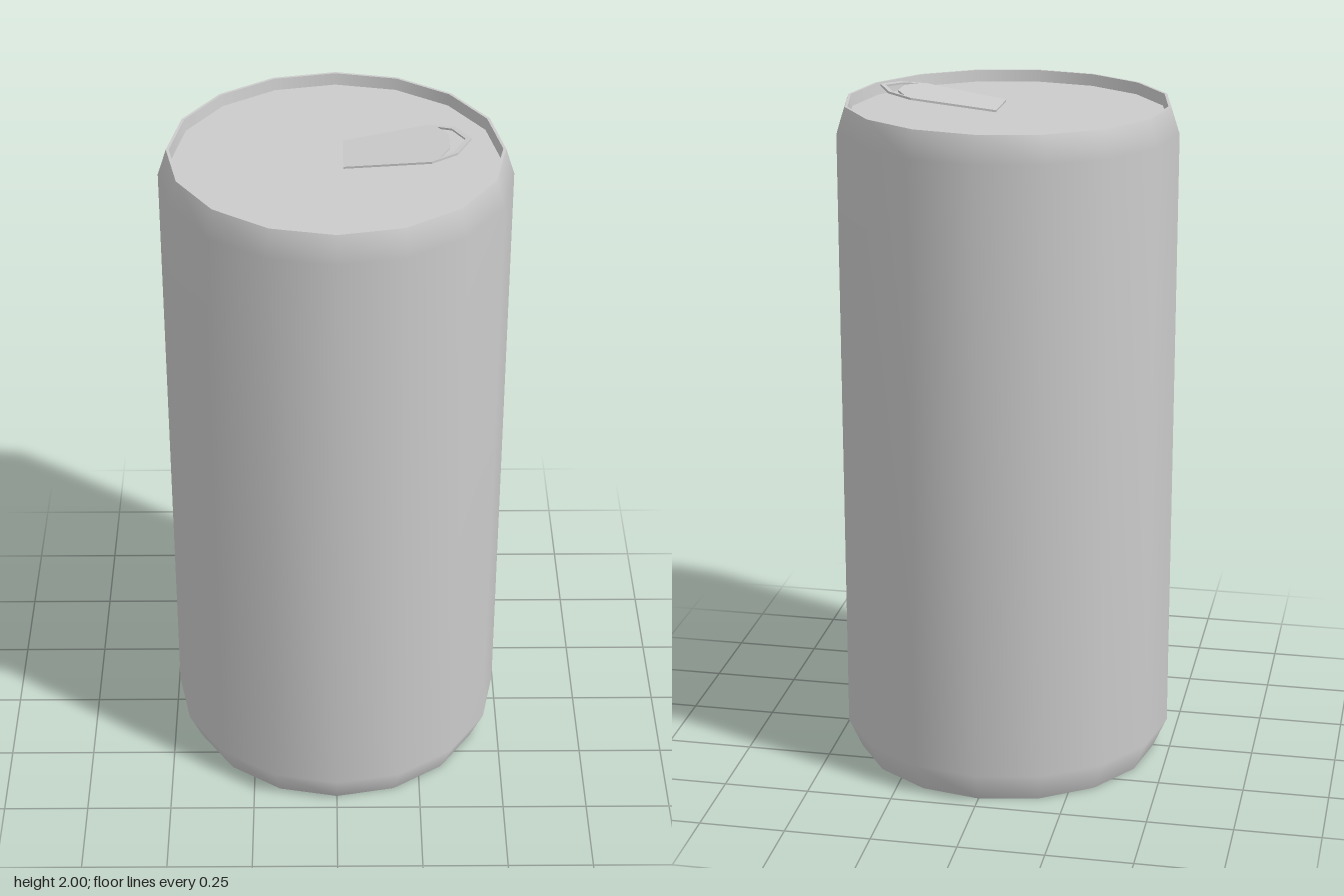
import * as THREE from 'three';

const SIDES = 16;
const material = new THREE.MeshStandardMaterial({ color: 0xcccccc });

const points = (list) => list.map(([x, y]) => new THREE.Vector2(x, y));

// Surface of revolution; separate pieces keep the edges between them sharp
function turned(name, profile) {
  const mesh = new THREE.Mesh(new THREE.LatheGeometry(points(profile), SIDES), material);
  mesh.name = name;
  return mesh;
}

// Closed outline symmetric about the x axis, from the points on one side
const mirrored = (half) =>
  points([...half, ...half.slice().reverse().filter(([, y]) => y !== 0).map(([x, y]) => [x, -y])]);

// Thin pull tab with a crescent finger hole, hinged up at its outer end
function pullTab() {
  const shape = new THREE.Shape(mirrored([[0, 0.075], [0.24, 0.107], [0.312, 0.075], [0.353, 0]].reverse()));
  const hole = points([
    [0.262, 0.088], [0.302, 0.067], [0.337, 0], [0.302, -0.067],
    [0.262, -0.088], [0.292, -0.038], [0.292, 0.038],
  ]);
  shape.holes.push(new THREE.Path(hole));
  const depth = 0.006;
  const geometry = new THREE.ExtrudeGeometry(shape, { depth, bevelEnabled: false });
  geometry.rotateX(-Math.PI / 2);
  const tab = new THREE.Mesh(geometry, material);
  tab.name = 'pullTab';
  tab.rotation.z = 0.134;
  tab.position.set(0.02, 1.947, 0);
  return tab;
}

export function createModel() {
  const can = new THREE.Group();
  can.name = 'drinkCan';
  can.add(
    turned('base', [[0, 0], [0.45, 0]]),
    turned('body', [[0.45, 0], [0.49, 0.09], [0.49, 1.89], [0.465, 1.967]]),
    turned('rim', [[0.465, 1.967], [0.457, 1.967]]),
    turned('rimInside', [[0.457, 1.967], [0.453, 1.933]]),
    turned('lid', [[0.453, 1.933], [0, 1.933]]),
    pullTab(),
  );
  return can;
}
